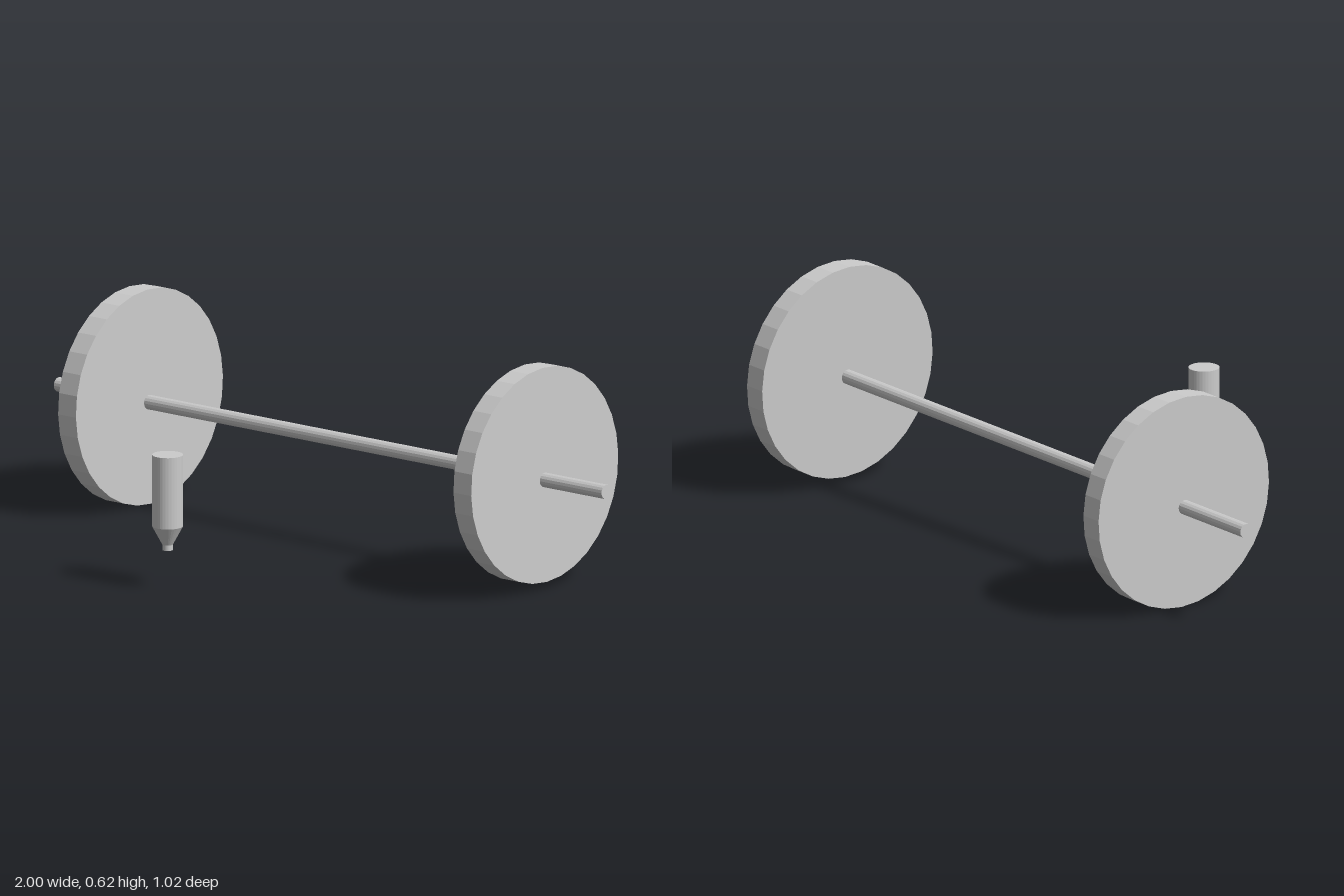
import * as THREE from 'three';

export function createModel() {
  const group = new THREE.Group();
  const material = new THREE.MeshStandardMaterial({ color: 0xcccccc, flatShading: true });

  // Direction of the slightly tilted bar
  const left = new THREE.Vector3(1, 0.311, -0.186);
  const right = new THREE.Vector3(-1, 0.283, -0.214);
  const axis = left.clone().sub(right);
  const length = axis.length();
  axis.normalize();
  const tilt = new THREE.Quaternion().setFromUnitVectors(new THREE.Vector3(0, 1, 0), axis);

  // Cylinder whose axis follows the bar
  function addRound(name, radius, height, sides, position) {
    const mesh = new THREE.Mesh(new THREE.CylinderGeometry(radius, radius, height, sides), material);
    mesh.name = name;
    mesh.quaternion.copy(tilt);
    mesh.position.copy(position);
    group.add(mesh);
  }

  addRound('bar', 0.02, length, 16, left.clone().add(right).multiplyScalar(0.5));

  // Weight plates, set slightly above the bar's centre line
  addRound('leftPlate', 0.3, 0.065, 32, new THREE.Vector3(0.742, 0.321, -0.19));
  addRound('rightPlate', 0.3, 0.065, 32, new THREE.Vector3(-0.703, 0.302, -0.212));

  // Separate upright cylinder with a tapered nozzle at the bottom
  const profile = [
    [0, 0.107], [0.0145, 0.107], [0.0145, 0.122],
    [0.0425, 0.174], [0.0425, 0.374], [0, 0.374],
  ].map(([r, y]) => new THREE.Vector2(r, y));
  const nozzle = new THREE.Mesh(new THREE.LatheGeometry(profile, 32), material);
  nozzle.name = 'nozzle';
  nozzle.position.set(-0.012, 0, 0.47);
  group.add(nozzle);

  return group;
}
